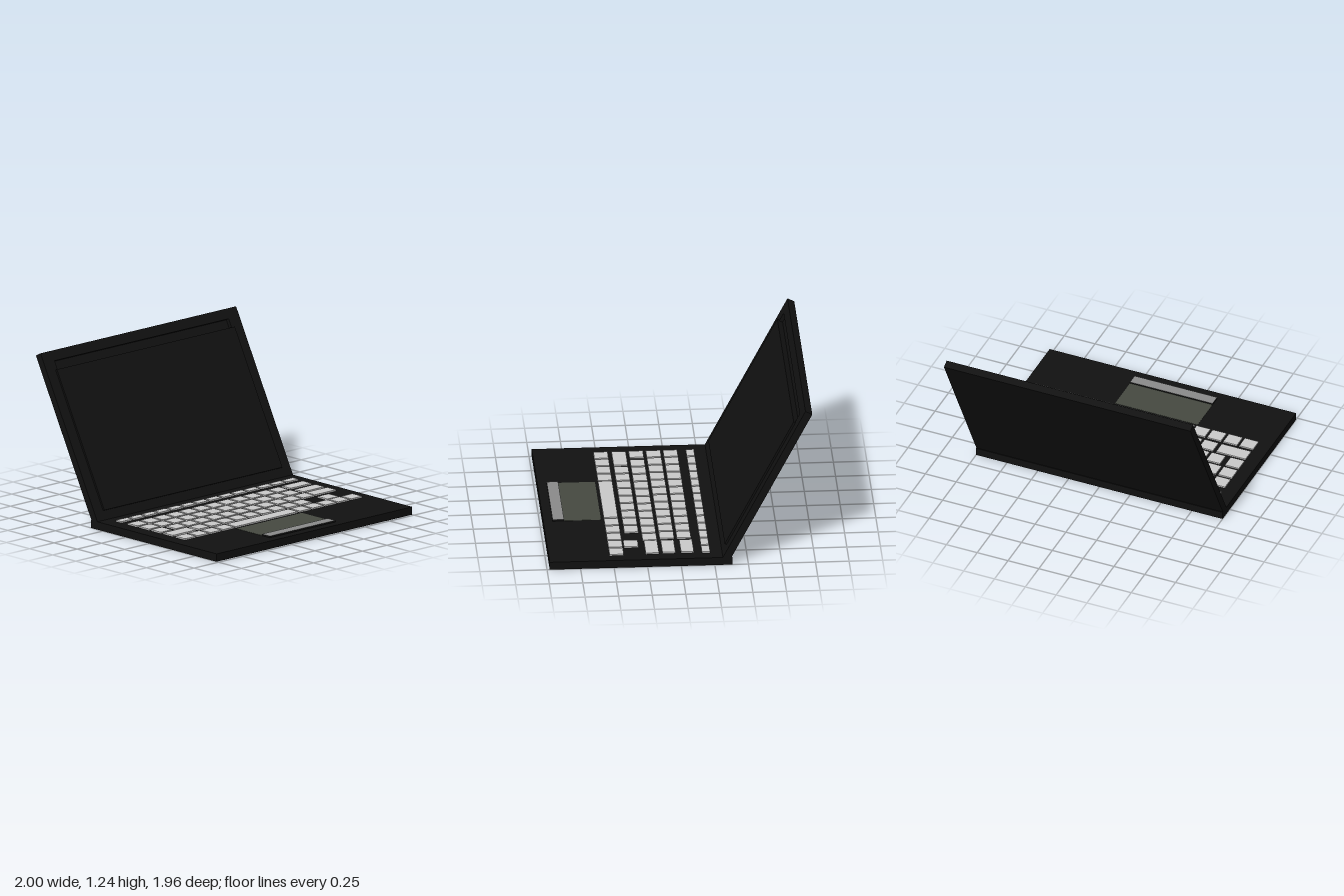
import * as THREE from 'three';

const mat = (color) => new THREE.MeshStandardMaterial({ color });

export function createModel() {
  const model = new THREE.Group();
  const black = mat(0x111111), keyGrey = mat(0xcccccc);
  const padGreen = mat(0x464a41), buttonGrey = mat(0x8c8c8c);

  // Box given by its extents on each axis
  function box(parent, name, material, [x0, x1], [y0, y1], [z0, z1]) {
    const mesh = new THREE.Mesh(new THREE.BoxGeometry(x1 - x0, y1 - y0, z1 - z0), material);
    mesh.position.set((x0 + x1) / 2, (y0 + y1) / 2, (z0 + z1) / 2);
    mesh.name = name;
    parent.add(mesh);
    return mesh;
  }

  // Base slab
  box(model, 'base', black, [-1, 1], [0, 0.06], [-0.38, 0.98]);

  // Touchpad and its raised button bar
  box(model, 'touchpad', padGreen, [-0.39, 0.28], [0.05, 0.062], [0.55, 0.825]);
  box(model, 'touchpadButtonBody', black, [-0.39, 0.28], [0.05, 0.072], [0.825, 0.91]);
  box(model, 'touchpadButtonTop', buttonGrey, [-0.39, 0.28], [0.072, 0.073], [0.825, 0.91]);

  // Keyboard
  const keyboard = new THREE.Group();
  keyboard.name = 'keyboard';
  model.add(keyboard);
  const keyY = [0.05, 0.071], keyWidth = 0.112, pitch = 0.1305;
  const key = (x0, x1, z) => box(keyboard, 'key', keyGrey, [x0, x1], keyY, z);
  const keyRun = (x, count, z) => {
    for (let i = 0; i < count; i++) key(x + i * pitch, x + i * pitch + keyWidth, z);
  };
  // Runs of ordinary keys: start x, count, z range
  [
    [-0.895, 14, [-0.22, -0.16]],
    [-0.895, 12, [-0.095, 0.01]],
    [-0.895, 12, [0.03, 0.138]],
    [-0.895, 1, [0.16, 0.266]],
    [-0.742, 11, [0.16, 0.266]],
    [-0.628, 9, [0.288, 0.393]],
    [0.672, 1, [0.305, 0.412]],
    [-0.895, 4, [0.423, 0.528]],
    [0.281, 5, [0.423, 0.528]],
  ].forEach(([x, count, z]) => keyRun(x, count, z));
  // Wide keys and space bar
  [
    [0.687, 0.902, [-0.1, -0.005]],
    [0.687, 0.902, [0.037, 0.133]],
    [0.687, 0.906, [0.16, 0.258]],
    [-0.893, -0.655, [0.288, 0.393]],
    [-0.377, 0.26, [0.423, 0.528]],
  ].forEach(([x0, x1, z]) => key(x0, x1, z));

  // Lid, leaning back from the hinge line; local y runs up the lid, z out of the screen
  const lid = new THREE.Group();
  lid.name = 'lid';
  lid.position.set(0, 0.06, -0.31);
  lid.rotation.x = THREE.MathUtils.degToRad(-27.6);
  model.add(lid);

  const height = 1.328, thickness = 0.057, recess = 0.028;
  box(lid, 'lidBack', black, [-1, 1], [0, height], [-thickness, -recess]);

  // Bezel frame around the recess
  const frame = new THREE.Shape([
    new THREE.Vector2(-1, 0), new THREE.Vector2(1, 0),
    new THREE.Vector2(1, height), new THREE.Vector2(-1, height),
  ]);
  frame.holes.push(new THREE.Path([
    new THREE.Vector2(-0.89, 0.13), new THREE.Vector2(-0.89, 1.25),
    new THREE.Vector2(0.89, 1.25), new THREE.Vector2(0.89, 0.13),
  ]));
  const bezel = new THREE.Mesh(
    new THREE.ExtrudeGeometry(frame, { depth: recess, bevelEnabled: false }), black);
  bezel.position.z = -recess;
  bezel.name = 'bezel';
  lid.add(bezel);

  // Screen panel, standing slightly proud and leaving a slot along the top
  box(lid, 'screen', black, [-0.91, 0.91], [0.071, 1.18], [-recess, 0.015]);

  return model;
}
